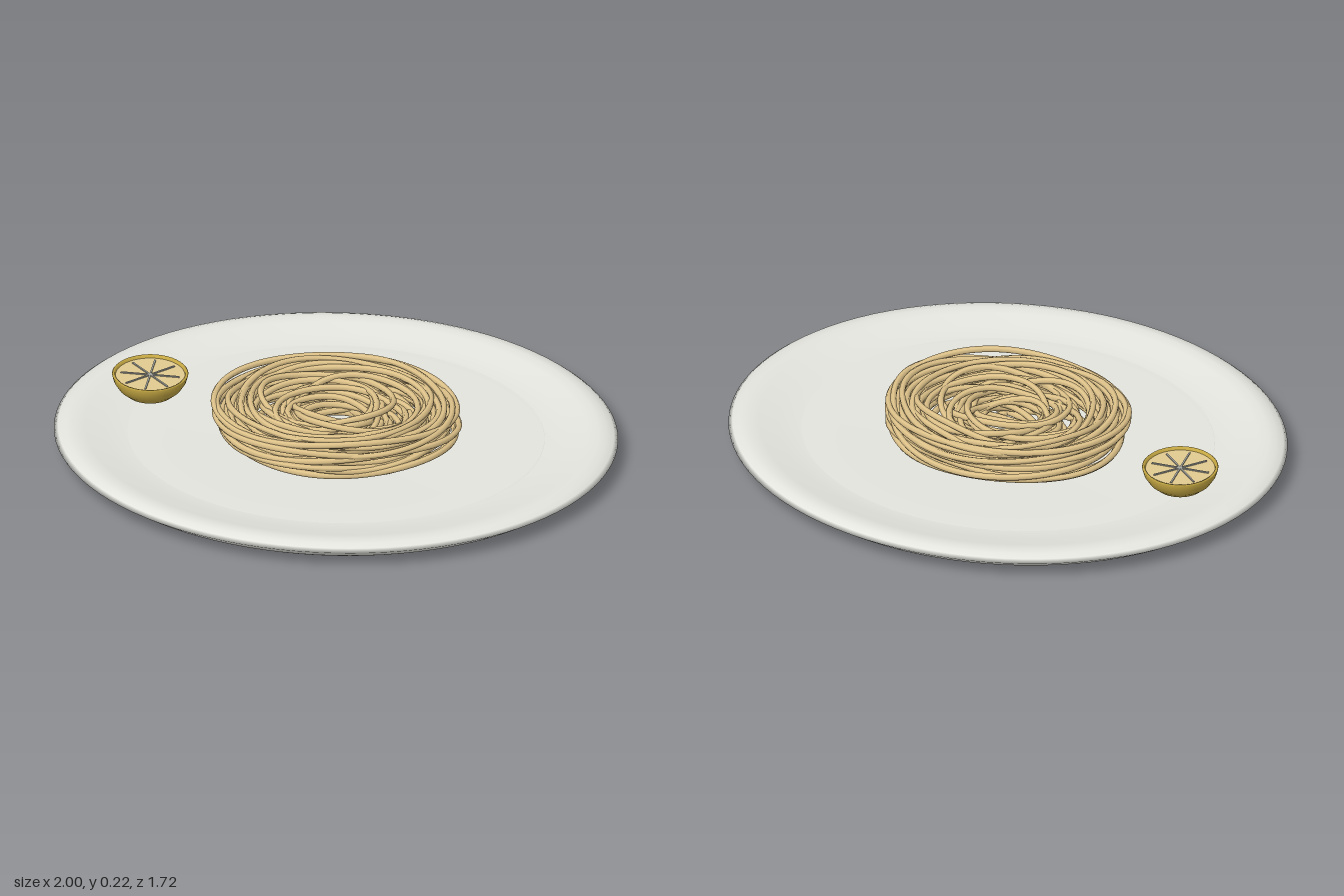
import * as THREE from 'three';

const DEPTH = 0.862; // the plate is an oval: z is narrower than x
const mat = (name, color) => {
  const m = new THREE.MeshStandardMaterial({ color });
  m.name = name;
  return m;
};
const points = (list) => list.map(([x, y]) => new THREE.Vector2(x, y));

function add(parent, name, geometry, material) {
  const mesh = new THREE.Mesh(geometry, material);
  mesh.name = name;
  parent.add(mesh);
  return mesh;
}

// Closed noodle following r(a), y(a) around an optionally shifted centre
function noodle(radius, wobble, waves, phase, y, lift, shift, turn) {
  const pts = [];
  for (let i = 0; i < 40; i++) {
    const a = (i / 40) * Math.PI * 2;
    const r = radius + wobble * Math.sin(a * waves + phase);
    pts.push(new THREE.Vector3(
      Math.cos(a) * r + Math.cos(turn) * shift,
      y + lift * Math.sin(a * 2 + phase * 1.7) + lift * 0.6 * Math.sin(a * 3 - phase),
      (Math.sin(a) * r + Math.sin(turn) * shift) * 0.83 - 0.006));
  }
  return new THREE.TubeGeometry(new THREE.CatmullRomCurve3(pts, true), 88, 0.0115, 6, true);
}

export function createModel() {
  const model = new THREE.Group();
  model.name = 'pastaPlate';
  const china = mat('white china', 0xe4e4de);
  const pasta = mat('pasta', 0xdfc38a);
  const rind = mat('lemon rind', 0xc9ab45);
  const flesh = mat('lemon flesh', 0xe2cb90);
  const membrane = mat('lemon membrane', 0xa9a9a2);

  // Plate: underside, outer lip and shallow rim in one profile
  const plate = new THREE.Group();
  plate.name = 'plate';
  plate.scale.z = DEPTH;
  model.add(plate);
  add(plate, 'plateBody', new THREE.LatheGeometry(points([
    [0, 0], [0.86, 0], [0.9, 0.006], [0.94, 0.026], [1, 0.065], [0.985, 0.077],
    [0.96, 0.086], [0.93, 0.09], [0.89, 0.085], [0.82, 0.071], [0.74, 0.061],
    [0.6, 0.055], [0, 0.052],
  ]), 96), china);
  // Centre well of the plate
  add(plate, 'plateWell', new THREE.LatheGeometry(points([
    [0.742, 0.058], [0.738, 0.063], [0.6, 0.059], [0, 0.056],
  ]), 96), china);

  // Noodle nest
  const nest = new THREE.Group();
  nest.name = 'noodleNest';
  model.add(nest);
  const golden = 2.39996;
  // Outer coils, stacked and overlapping
  for (let i = 0; i < 28; i++) {
    const level = (i % 7) / 6;
    const ring = Math.floor(i / 7);
    const radius = 0.422 - ring * 0.033 - 0.012 * Math.abs(level - 0.4);
    add(nest, 'outerNoodle', noodle(radius, 0.016, 2 + (i % 2), i * golden,
      0.09 + level * 0.1, 0.011, 0.008, i * golden), pasta);
  }
  // Middle loops, shifted so they cross one another
  for (let i = 0; i < 16; i++) {
    const turn = (i / 16) * Math.PI * 2;
    add(nest, 'middleNoodle', noodle(0.225, 0.012, 2, i * golden,
      0.1 + (i % 4) * 0.024, 0.012, 0.075, turn + 0.2 * Math.sin(i)), pasta);
  }
  // Inner loops around the small central opening
  for (let i = 0; i < 10; i++) {
    const turn = (i / 10) * Math.PI * 2;
    add(nest, 'innerNoodle', noodle(0.145, 0.008, 2, i * golden,
      0.09 + (i % 4) * 0.023, 0.01, 0.05, turn), pasta);
  }

  // Half lemon resting on the rim
  const lemon = new THREE.Group();
  lemon.name = 'lemonHalf';
  lemon.position.set(-0.692, 0, -0.16);
  model.add(lemon);
  add(lemon, 'lemonRind', new THREE.LatheGeometry(points([
    [0, 0.062], [0.05, 0.066], [0.085, 0.08], [0.112, 0.104], [0.128, 0.13],
    [0.135, 0.155], [0.131, 0.159], [0.125, 0.157], [0.122, 0.145],
  ]), 40), rind);
  const face = add(lemon, 'lemonFlesh', new THREE.CircleGeometry(0.124, 40), flesh);
  face.rotation.x = -Math.PI / 2;
  face.position.y = 0.148;
  // Membranes dividing the segments
  for (let i = 0; i < 4; i++) {
    const line = add(lemon, 'lemonMembrane', new THREE.BoxGeometry(0.21, 0.006, 0.006), membrane);
    line.position.y = 0.149;
    line.rotation.y = (i * Math.PI) / 4;
  }
  return model;
}
